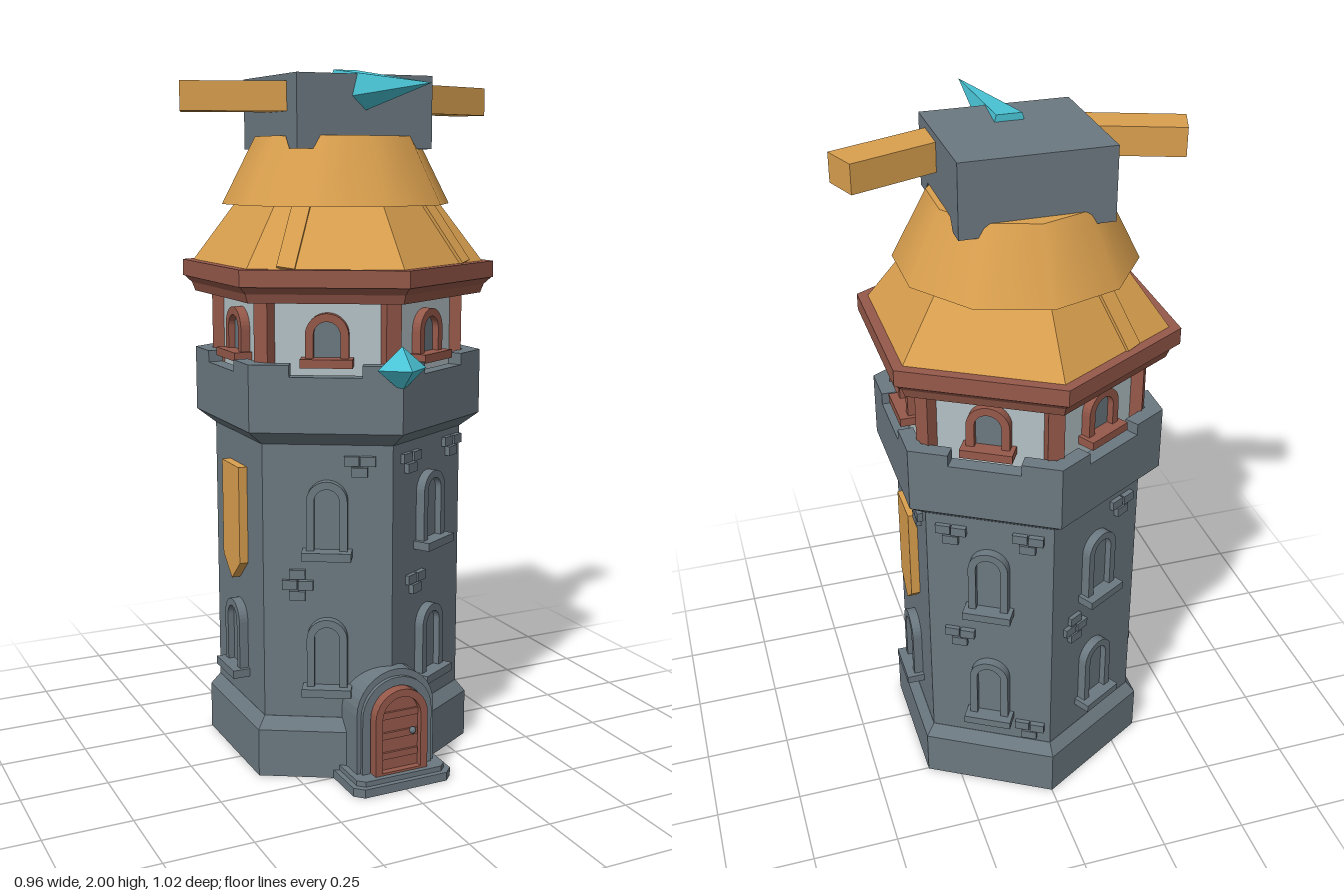
import * as THREE from 'three';

const mat = (name, color) => { const m = new THREE.MeshStandardMaterial({ color }); m.name = name; return m; };

export function createModel() {
  const stone = mat('stone grey', 0x6b7880);
  const wood = mat('red brown wood', 0x96594a);
  const straw = mat('golden tan', 0xd99f4e);
  const plaster = mat('pale plaster', 0xb4c2c6);
  const crystal = mat('cyan crystal', 0x4ac6d8);

  const model = new THREE.Group();
  model.name = 'tower';
  const CZ = -0.055;              // tower axis
  const core = new THREE.Group();
  core.name = 'hexTower';
  core.position.z = CZ;
  model.add(core);

  const flat = (g) => { const n = g.index ? g.toNonIndexed() : g; n.computeVertexNormals(); return n; };
  function add(parent, name, geo, material, x = 0, y = 0, z = 0) {
    const m = new THREE.Mesh(geo, material);
    m.name = name;
    m.position.set(x, y, z);
    parent.add(m);
    return m;
  }
  const box = (p, name, w, h, d, material, x, y, z) =>
    add(p, name, new THREE.BoxGeometry(w, h, d), material, x, y, z);
  // hexagonal frustum between two heights, with a corner facing the front
  const hex = (name, r0, r1, y0, y1, material) =>
    add(core, name, flat(new THREE.CylinderGeometry(r1, r0, y1 - y0, 6)), material, 0, (y0 + y1) / 2, 0);
  const extrude = (shape, depth) =>
    new THREE.ExtrudeGeometry(shape, { depth, bevelEnabled: false, curveSegments: 8 });
  // round-topped outline standing on y = y0
  function arch(w, h, y0 = 0, T = THREE.Shape) {
    const s = new T(), r = w / 2;
    s.moveTo(-r, y0);
    s.lineTo(r, y0);
    s.lineTo(r, h - r);
    s.absarc(0, h - r, r, 0, Math.PI, false);
    s.closePath();
    return s;
  }
  function archFrame(w, h, t) {
    const s = arch(w, h);
    s.holes.push(arch(w - 2 * t, h - t, t * 0.4, THREE.Path));
    return s;
  }
  const poly = (pts) => new THREE.Shape(pts.map(([x, y]) => new THREE.Vector2(x, y)));

  // stone shaft
  hex('plinth', 0.395, 0.395, 0, 0.14, stone);
  hex('plinthSlope', 0.395, 0.366, 0.14, 0.175, stone);
  hex('shaft', 0.365, 0.365, 0.17, 0.98, stone);
  hex('corbel', 0.367, 0.422, 0.975, 1.015, stone);
  hex('parapetBase', 0.422, 0.422, 1.015, 1.11, stone);

  // parapet ring and corner merlons
  const hexPts = (r) => Array.from({ length: 6 }, (_, i) => [r * Math.sin(i * Math.PI / 3), r * Math.cos(i * Math.PI / 3)]);
  const ring = poly(hexPts(0.422));
  ring.holes.push(poly(hexPts(0.372)));
  add(core, 'parapetRing', extrude(ring, 0.06).rotateX(-Math.PI / 2), stone, 0, 1.11, 0);
  const [c, s] = [Math.cos(Math.PI / 6), Math.sin(Math.PI / 6)];
  const L = 0.111, ri = 0.372, li = L - 0.05 * s;
  const merlonShape = poly([[0, -0.422], [L * c, -0.422 + L * s], [li * c, -ri + li * s],
    [0, -ri], [-li * c, -ri + li * s], [-L * c, -0.422 + L * s]]);
  for (let i = 0; i < 6; i++) {
    const corner = new THREE.Group();
    corner.name = 'towerCorner';
    corner.rotation.y = i * Math.PI / 3;
    core.add(corner);
    add(corner, 'merlon', extrude(merlonShape, 0.033).rotateX(-Math.PI / 2), stone, 0, 1.17, 0);
    box(corner, 'cornerPost', 0.046, 0.27, 0.046, wood, 0, 1.245, 0.343);
  }

  // upper storey and eaves
  hex('plasterWall', 0.345, 0.345, 1.1, 1.38, plaster);
  hex('eavesLower', 0.42, 0.43, 1.37, 1.395, wood);
  hex('eavesMiddle', 0.43, 0.452, 1.395, 1.415, wood);
  hex('eavesRim', 0.456, 0.456, 1.415, 1.462, wood);

  // roof skirt, and the flared cap hovering above it
  hex('roofSkirt', 0.425, 0.295, 1.46, 1.63, straw);
  hex('roofPeak', 0.295, 0.2, 1.63, 1.7, straw);
  add(core, 'roofCap', new THREE.CylinderGeometry(0.235, 0.332, 0.19, 10), straw, 0, 1.72, 0);

  // windows
  function windowAt(parent, y, z, w, h, trim, label) {
    const g = new THREE.Group();
    g.name = label;
    g.position.set(0, y, z);
    parent.add(g);
    add(g, 'windowFrame', extrude(archFrame(w, h, w * 0.19), 0.037), trim, 0, 0, -0.01);
    add(g, 'windowPane', extrude(arch(w * 0.7, h * 0.88), 0.008), stone, 0, 0, 0);
    box(g, 'windowSill', w + 0.025, 0.024, 0.06, trim, 0, 0, 0.022);
  }
  // cluster of raised bricks
  function bricks(parent, u, y, big) {
    const g = new THREE.Group();
    g.name = 'raisedBricks';
    g.position.set(u, y, 0.316);
    parent.add(g);
    box(g, 'brick', 0.042, 0.027, 0.026, stone, -0.022, 0.016, 0);
    box(g, 'brick', 0.042, 0.027, 0.032, stone, 0.024, 0.016, 0);
    box(g, 'brick', 0.045, 0.027, 0.03, stone, 0, -0.015, 0);
    if (big) box(g, 'brick', 0.045, 0.027, 0.026, stone, 0.0, 0.047, 0);
  }
  const brickSpots = [
    [[-0.1, 0.915], [0.125, 0.925], [-0.07, 0.555]],
    [[0.1, 0.915]],
    [[-0.11, 0.915], [0.11, 0.915], [-0.09, 0.55], [0.12, 0.22]],
    [[0.1, 0.915], [-0.09, 0.56, true]],
    [],
    [[0.09, 0.915], [-0.085, 0.555, true]],
  ];
  const bannerShape = poly([[-0.066, 0.6], [0, 0.54], [0.066, 0.6], [0.066, 0.885], [-0.066, 0.885]]);
  const strips = { 0: 0.1, 3: 0.05, 5: -0.1 };
  brickSpots.forEach((spots, i) => {
    const side = new THREE.Group();
    side.name = 'towerSide';
    side.rotation.y = (i + 0.5) * Math.PI / 3;
    core.add(side);
    windowAt(side, 0.265, 0.316, 0.115, 0.21, stone, 'lowerWindow');
    if (i === 1 || i === 4) add(side, 'banner', extrude(bannerShape, 0.03), straw, 0, 0, 0.312);
    else windowAt(side, 0.665, 0.316, 0.115, 0.21, stone, 'middleWindow');
    windowAt(side, 1.205, 0.299, 0.12, 0.135, wood, 'upperWindow');
    spots.forEach(([u, y, big]) => bricks(side, u, y, big));
    // raised thatch strip lying on the skirt slope
    if (i in strips) {
      const strip = box(side, 'roofStrip', 0.05, 0.2, 0.016, straw, strips[i] * 0.9, 1.545, 0.313);
      strip.rotation.set(-Math.atan2(0.1126, 0.17), 0, strips[i] * 1.6);
    }
  });

  // doorway on the front corner
  const door = new THREE.Group();
  door.name = 'doorway';
  model.add(door);
  const stepShape = poly([[-0.155, -0.2], [-0.155, -0.38], [-0.13, -0.405], [0.13, -0.405], [0.155, -0.38], [0.155, -0.2]].reverse());
  add(door, 'doorStep', extrude(stepShape, 0.025).rotateX(-Math.PI / 2), stone);
  const stepTop = poly([[-0.14, -0.2], [-0.14, -0.37], [-0.12, -0.39], [0.12, -0.39], [0.14, -0.37], [0.14, -0.2]].reverse());
  add(door, 'doorStepTop', extrude(stepTop, 0.015).rotateX(-Math.PI / 2), stone, 0, 0.025, 0);
  add(door, 'doorSurround', extrude(arch(0.245, 0.335), 0.165), stone, 0, 0, 0.17);
  add(door, 'doorSurroundRim', extrude(archFrame(0.22, 0.315, 0.025), 0.012), stone, 0, 0, 0.335);
  add(door, 'doorFrame', extrude(archFrame(0.165, 0.25, 0.022), 0.05), wood, 0, 0.038, 0.325);
  add(door, 'doorLeaf', extrude(arch(0.13, 0.23), 0.025), wood, 0, 0.038, 0.33);
  for (const y of [0.09, 0.15, 0.21]) box(door, 'doorBand', 0.115, 0.02, 0.008, wood, 0, y, 0.358);
  add(door, 'doorKnob', new THREE.SphereGeometry(0.01, 8, 6), stone, 0.04, 0.155, 0.364);

  // crystal on the front parapet corner
  const gem = add(model, 'parapetCrystal', new THREE.OctahedronGeometry(1), crystal, 0, 1.195, 0.358);
  gem.scale.set(0.074, 0.062, 0.06);

  // crowning block with four corner feet
  const crown = new THREE.Group();
  crown.name = 'crown';
  crown.position.set(0, 0, -0.057);
  model.add(crown);
  box(crown, 'crownBlock', 0.415, 0.167, 0.385, stone, 0, 1.8965, 0);
  const footShape = poly([[0, 0], [0, -0.035], [0.05, -0.035], [0.078, 0]]);
  for (const sx of [-1, 1]) for (const sz of [-1, 1]) {
    // foot: outer faces flush with the block, inner faces sloping
    const g = new THREE.BoxGeometry(0.078, 0.035, 0.078);
    const p = g.attributes.position;
    for (let k = 0; k < p.count; k++) if (p.getY(k) < 0) {
      if (p.getX(k) * sx < 0) p.setX(k, p.getX(k) + sx * 0.026);
      if (p.getZ(k) * sz < 0) p.setZ(k, p.getZ(k) + sz * 0.026);
    }
    add(crown, 'crownFoot', flat(g), stone, sx * (0.2075 - 0.039), 1.7965, sz * (0.1925 - 0.039));
  }
  // swept-back arms
  for (const sx of [-1, 1]) {
    const arm = box(model, 'arm', 0.36, 0.08, 0.105, straw, sx * 0.293, 1.92, -0.019);
    arm.rotation.y = sx * 0.35;
  }
  // long crystal beak, five-sided with a flat top
  const beakGeo = new THREE.ConeGeometry(0.075, 0.505, 5).rotateX(Math.PI / 2);
  const beak = add(model, 'crystalBeak', flat(beakGeo), crystal, 0, 1.938, 0.2525);
  beak.scale.x = 0.8;

  return model;
}
